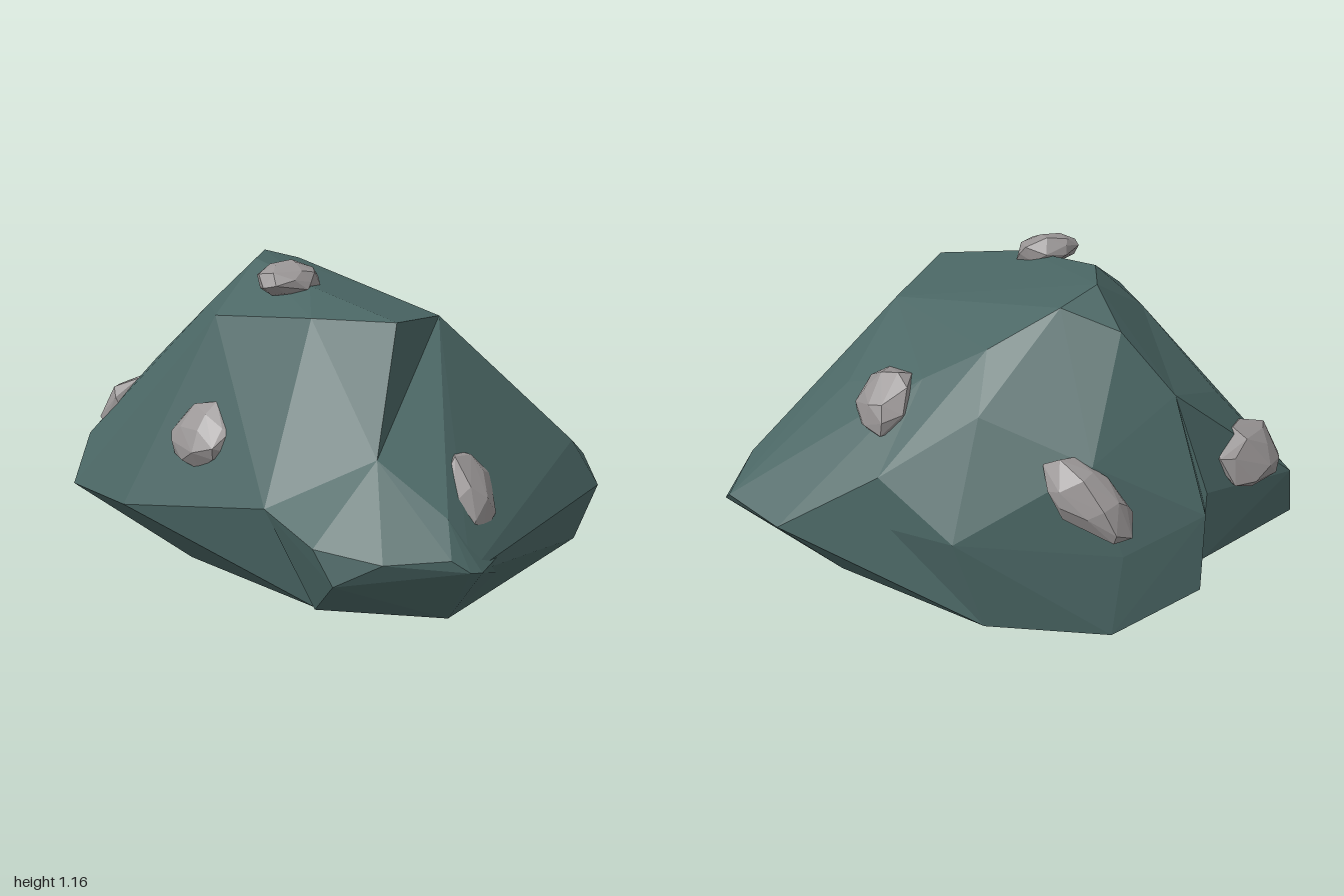
import * as THREE from 'three';
import { ConvexGeometry } from 'three/addons/geometries/ConvexGeometry.js';

const stone = new THREE.MeshStandardMaterial({ color: 0x4a6664, flatShading: true });
const grey = new THREE.MeshStandardMaterial({ color: 0x999595, flatShading: true });

// Faceted chunk of rock spanned by a few corner points
function chunk(name, corners) {
  const mesh = new THREE.Mesh(new ConvexGeometry(corners.map((c) => new THREE.Vector3(...c))), stone);
  mesh.name = name;
  return mesh;
}

function seeded(seed) {
  let s = seed * 7919 + 17;
  return () => (s = (s * 16807) % 2147483647) / 2147483647;
}

// Small irregular stone lying flat against the surface normal, stretched along one direction
function pebble(position, normal, along, [length, width, thickness], seed) {
  const rand = seeded(seed);
  rand();
  const points = [];
  for (let i = 0; i < 28; i++) {
    const t = 1 - (2 * (i + 0.5)) / 28, a = i * 2.4 + rand() * 0.6;
    const r = Math.sqrt(1 - t * t), k = 0.95 + rand() * 0.16;
    points.push(new THREE.Vector3(r * Math.cos(a) * length * k, r * Math.sin(a) * width * k, t * thickness * k));
  }
  const mesh = new THREE.Mesh(new ConvexGeometry(points), grey);
  const n = new THREE.Vector3(...normal).normalize();
  const side = n.clone().cross(new THREE.Vector3(...along)).normalize();
  mesh.quaternion.setFromRotationMatrix(new THREE.Matrix4().makeBasis(side.clone().cross(n), side, n));
  mesh.position.set(...position);
  mesh.name = 'pebble' + seed;
  return mesh;
}

export function createModel() {
  const group = new THREE.Group();
  group.name = 'boulder';

  // Central mass with the crown
  group.add(chunk('core', [
    [-0.26, 1.15, -0.41], [-0.29, 1.14, -0.22], [-0.1, 1.08, 0.1], [-0.13, 1.11, -0.49],
    [0.1, 0.98, -0.49], [-0.31, 1.05, -0.56], [-0.46, 0.98, -0.2], [-0.48, 0.85, -0.62],
    [-0.43, 0.97, 0.04], [-0.1, 1, 0.31], [0.18, 0.99, 0.35], [0.36, 0.96, 0.02],
    [0.3, 0.85, -0.41], [0.14, 0.8, -0.6], [-0.2, 0.68, -0.74], [0.24, 0.43, -0.75],
    [0.46, 0.4, -0.57], [0.46, 0.58, -0.56], [-0.57, 0.48, -0.75], [-0.57, 0.2, -0.76],
    [-0.3, 0.37, -0.79], [-0.27, 0.08, -0.81], [0.14, 0.1, -0.74],
    [-0.26, 0.42, 0.55], [0.1, 0.59, 0.59], [-0.77, 0.3, 0.1], [-0.1, 0.1, 0.6],
    [0.13, 0, 0.21], [-0.54, 0.06, 0], [-0.05, 0.03, -0.52], [0.6, 0.06, -0.3],
  ]));

  // Shoulder on the model's left
  group.add(chunk('leftShoulder', [
    [0.36, 0.96, 0.02], [0.54, 0.75, -0.2], [0.3, 0.85, -0.41], [0.46, 0.58, -0.56],
    [0.46, 0.4, -0.57], [0.8, 0.36, -0.47], [0.97, 0.37, -0.26], [0.89, 0.46, -0.12],
    [1, 0.28, -0.13], [0.88, 0.12, 0.02], [0.68, 0.29, 0.26], [0.63, 0.06, 0.21],
    [0.37, 0.3, 0.84], [0.31, 0.44, 0.74], [0.1, 0.59, 0.59], [0.33, 0.07, 0.64],
    [0.13, 0, 0.21], [0.14, 0.1, -0.74], [0.6, 0.06, -0.3],
  ]));

  // Shoulder on the model's right
  group.add(chunk('rightShoulder', [
    [-0.43, 0.97, 0.04], [-0.46, 0.98, -0.2], [-0.48, 0.85, -0.62], [-0.68, 0.74, -0.4],
    [-0.96, 0.43, -0.43], [-1, 0.28, -0.24], [-0.99, 0.25, -0.4], [-0.77, 0.3, 0.1],
    [-0.77, 0.1, -0.3], [-0.26, 0.42, 0.55], [-0.54, 0.06, 0], [-0.6, 0.5, -0.65],
    [-0.6, 0.24, -0.65],
  ]));

  // Foot reaching forward
  group.add(chunk('frontFoot', [
    [0.1, 0.59, 0.59], [0.31, 0.44, 0.74], [0.31, 0.34, 0.84], [0.1, 0.33, 0.845],
    [-0.05, 0.25, 0.81], [-0.11, 0.36, 0.77], [-0.26, 0.42, 0.55], [0.37, 0.3, 0.84],
    [0.41, 0.29, 0.81], [0.68, 0.29, 0.26], [0.63, 0.06, 0.21],
    [0.33, 0.07, 0.64], [-0.1, 0.1, 0.62], [0.13, 0, 0.21],
  ]));

  // Loose stones: position, surface normal, long direction, half sizes
  [
    [[-0.175, 1.1, 0.055], [0.1, 0.95, 0.25], [0.9, -0.05, -0.35], [0.115, 0.09, 0.055]],
    [[-0.48, 0.58, 0.215], [-0.62, 0.42, 0.66], [0.7, 0, 0.7], [0.135, 0.12, 0.06]],
    [[0.395, 0.45, 0.52], [0.75, 0.51, 0.42], [0.1, -0.45, 0.88], [0.175, 0.125, 0.08]],
    [[0.42, 0.75, -0.36], [0.75, 0.6, -0.15], [0, 0.1, 1], [0.13, 0.12, 0.075]],
    [[-0.77, 0.55, -0.49], [-0.54, 0.57, -0.62], [-0.6, -0.3, 0.6], [0.165, 0.115, 0.075]],
    [[-0.185, 0.58, -0.77], [0, 0.4, -0.92], [-0.7, -0.65, -0.28], [0.17, 0.095, 0.065]],
  ].forEach((p, i) => group.add(pebble(...p, i + 1)));

  return group;
}
